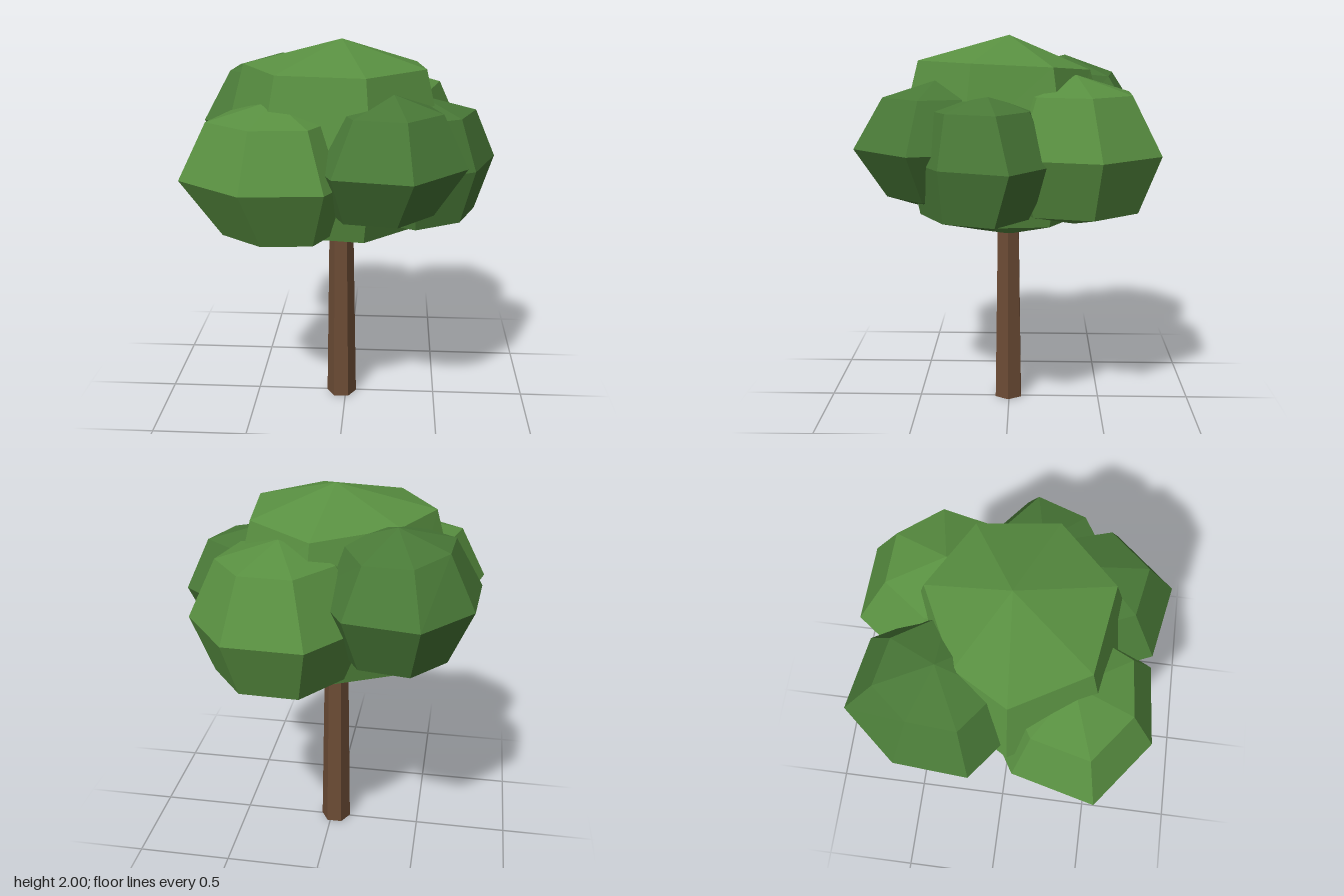
import * as THREE from 'three';

const leafLight = new THREE.MeshStandardMaterial({ color: 0x599041, flatShading: true });
leafLight.name = 'light leaf green';
const leafDark = new THREE.MeshStandardMaterial({ color: 0x497937, flatShading: true });
leafDark.name = 'dark leaf green';
const bark = new THREE.MeshStandardMaterial({ color: 0x6c4c35, flatShading: true });
bark.name = 'bark brown';

// Faceted leaf clump: an irregular outline at its widest, smaller rings below and above, two poles.
// Rings are [scale, shift x, shift z]; an outline point may add a drop for its upper ring corner.
function leafClump(name, material, [cx, cz], [bottom, middle, top], lower, upper, outline) {
  const n = outline.length;
  const ring = (y, [s, dx = 0, dz = 0], sag = 0) => outline.map(([x, z, drop = 0]) =>
    [cx + dx + (x - cx) * s, y - drop * sag, cz + dz + (z - cz) * s]);
  const rings = [
    ring(middle + (bottom - middle) * 0.77, lower),
    ring(middle, [1]),
    ring(middle + (top - middle) * 0.76, upper, 1),
  ];
  const points = [...rings.flat(), [cx, bottom, cz], [cx, top, cz]];
  const south = 3 * n, north = south + 1, index = [];
  for (let i = 0; i < n; i++) {
    const j = (i + 1) % n;
    index.push(south, i, j, north, 2 * n + j, 2 * n + i);
    for (let r = 0; r < 2; r++) {
      const a = r * n + i, b = r * n + j;
      index.push(a, a + n, b, b, a + n, b + n);
    }
  }
  const geometry = new THREE.BufferGeometry();
  geometry.setAttribute('position', new THREE.Float32BufferAttribute(points.flat(), 3));
  geometry.setIndex(index);
  const flat = geometry.toNonIndexed();
  flat.computeVertexNormals();
  const mesh = new THREE.Mesh(flat, material);
  mesh.name = name;
  return mesh;
}

export function createModel() {
  const tree = new THREE.Group();
  tree.name = 'tree';

  // Tapered six-sided trunk, reaching into the leaves
  const trunk = new THREE.Mesh(new THREE.CylinderGeometry(0.063, 0.082, 1.1, 6), bark);
  trunk.rotation.y = Math.PI / 2;
  trunk.position.set(-0.024, 0.55, 0.005);
  trunk.name = 'trunk';
  tree.add(trunk);

  // Crown: one central clump with five around it
  const crown = new THREE.Group();
  crown.name = 'crown';
  crown.add(
    leafClump('centreLeaves', leafLight, [-0.02, 0], [0.94, 1.48, 2], [0.78], [0.82],
      [[0.5, 0.21], [0.15, 0.56], [-0.38, 0.48], [-0.63, 0.05], [-0.44, -0.27, 0.02], [0.05, -0.51, 0.05], [0.45, -0.27, 0.02]]),
    leafClump('frontRightLeaves', leafLight, [-0.33, 0.32], [1, 1.38, 1.745], [0.64, 0.03, 0], [0.7],
      [[0.11, 0.35], [-0.06, 0.695], [-0.45, 0.73], [-0.78, 0.48], [-0.68, 0.08], [-0.33, -0.13], [0, -0.02]]),
    leafClump('frontLeftLeaves', leafDark, [0.25, 0.36], [1.13, 1.455, 1.785], [0.68, -0.04, -0.02], [0.66, 0, -0.01],
      [[0.605, 0.465], [0.345, 0.76], [-0.03, 0.69], [-0.17, 0.37], [0, 0.03], [0.27, -0.03], [0.5, 0.12]]),
    leafClump('leftLeaves', leafDark, [0.38, 0.1], [1.055, 1.4, 1.735], [0.75, 0, 0.04], [0.72, 0, 0.03],
      [[0.655, 0.315], [0.36, 0.49], [0.08, 0.35], [0.02, 0.02], [0.2, -0.26], [0.51, -0.23], [0.775, -0.02]]),
    leafClump('backLeftLeaves', leafLight, [0.2, -0.34], [1.05, 1.43, 1.81], [0.75], [0.67, 0.01, 0.01],
      [[0.54, -0.06], [0.18, 0.1], [-0.15, -0.06], [-0.24, -0.45], [0, -0.77], [0.39, -0.755], [0.63, -0.45]]),
    leafClump('backRightLeaves', leafDark, [-0.36, -0.3], [1.18, 1.55, 1.885], [0.7], [0.66, 0, 0.01],
      [[-0.09, 0.04], [-0.46, 0.12], [-0.765, -0.11], [-0.74, -0.46], [-0.51, -0.73, 0.02], [-0.15, -0.67, 0.03], [0.06, -0.3]]),
  );
  tree.add(crown);
  return tree;
}
